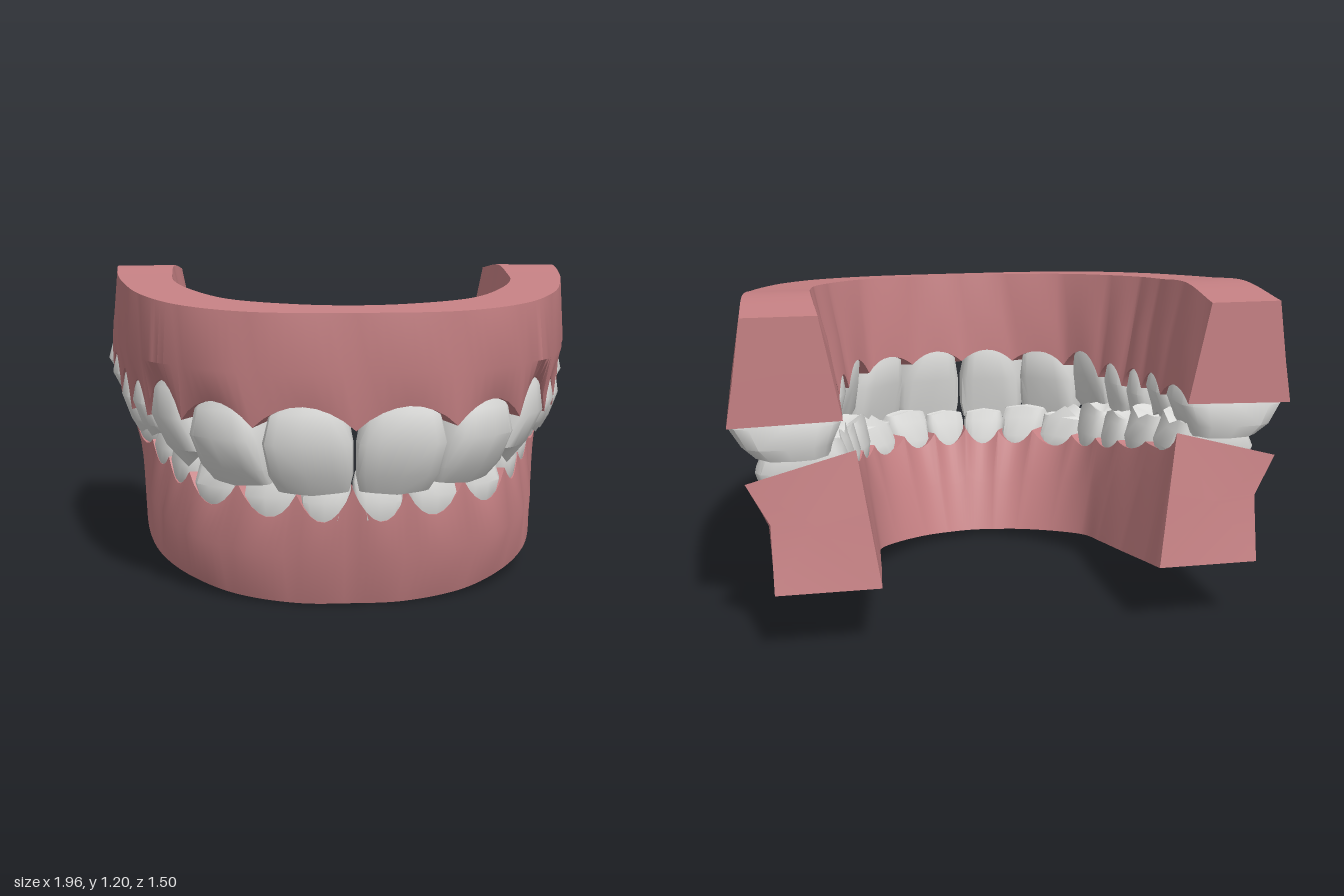
import * as THREE from 'three';
import { toCreasedNormals } from 'three/addons/utils/BufferGeometryUtils.js';

const gumPink = new THREE.MeshStandardMaterial({ color: 0xc58083 });
gumPink.name = 'gum pink';
const toothWhite = new THREE.MeshStandardMaterial({ color: 0xdcdcda });
toothWhite.name = 'tooth white';

// Curve through half an arch (midline to back) and its mirror; u counts teeth from the midline.
function arch(half) {
  const pts = half.map(([x, y, z]) => new THREE.Vector3(x, y, z));
  const mirrored = pts.slice(1).reverse().map(p => new THREE.Vector3(-p.x, p.y, p.z));
  const curve = new THREE.CatmullRomCurve3([...mirrored, ...pts]);
  const n = half.length - 1;
  return u => curve.getPoint((u + n) / (2 * n));
}

// Skin closed rings, cap both ends and make the faces point outwards.
function loft(rings, crease, capA, capB) {
  const n = rings[0].length, m = rings.length;
  const verts = [...rings.flat(), capA, capB];
  const idx = [];
  for (let j = 0; j < m - 1; j++) {
    for (let i = 0; i < n; i++) {
      const a = j * n + i, b = j * n + (i + 1) % n;
      idx.push(a, b, b + n, a, b + n, a + n);
    }
  }
  for (let i = 0; i < n; i++) {
    const k = (i + 1) % n, e = (m - 1) * n;
    idx.push(n * m, k, i, n * m + 1, e + i, e + k);
  }
  let volume = 0;
  for (let t = 0; t < idx.length; t += 3) {
    const [a, b, c] = [0, 1, 2].map(q => verts[idx[t + q]]);
    volume += a.dot(b.clone().cross(c));
  }
  if (volume < 0) idx.reverse();
  const g = new THREE.BufferGeometry().setFromPoints(verts);
  g.setIndex(idx);
  return toCreasedNormals(g, crease);
}

const middle = ring => ring.reduce((s, p) => s.add(p), new THREE.Vector3()).divideScalar(ring.length);

// Upper jaw: edge lines from the midline to the back, one point per tooth boundary.
const roofY = z => Math.min(1.09 + 0.1 * (0.74 - z), 1.22 - 0.45 * (-0.56 - z));
const roof = list => arch(list.map(([x, z]) => [x, roofY(z), z]));
const upper = {
  name: 'upper',
  baseOut: roof([[0, .74], [.36, .71], [.6, .57], [.75, .35], [.83, .12], [.88, -.1], [.91, -.35], [.92, -.66]]),
  midOut: arch([[0, .89, .75], [.37, .89, .715], [.61, .9, .58], [.76, .9, .35], [.84, .92, .12],
    [.89, .93, -.1], [.935, .95, -.35], [.96, .96, -.66]]),
  edgeOut: arch([[0, .69, .725], [.35, .7, .695], [.6, .7, .52], [.74, .68, .3], [.82, .67, .09],
    [.88, .71, -.1], [.94, .76, -.35], [.98, .81, -.66]]),
  edgeIn: arch([[0, .73, .56], [.22, .73, .53], [.42, .73, .4], [.52, .72, .2], [.57, .72, .03],
    [.6, .75, -.13], [.6, .78, -.36], [.6, .82, -.66]]),
  baseIn: roof([[0, .6], [.2, .57], [.43, .46], [.58, .24], [.65, .05], [.67, -.12], [.68, -.36], [.67, -.66]]),
  scallop: [.08, .08, .14, .13, .13, .12, .09],
  root: [.82, .82, .88, .84, .85, .89, .91],
  tip: [.45, .47, .5, .58, .56, .65, .68],
  end: 7,
};

// Lower jaw, with one more station behind the last molar.
const floorY = z => Math.max(0, (0.47 - z) * 0.205);
const floor = list => arch(list.map(([x, z]) => [x, floorY(z), z]));
const lower = {
  name: 'lower',
  baseOut: floor([[0, .47], [.2, .46], [.43, .38], [.61, .23], [.72, .07], [.78, -.1], [.82, -.35], [.84, -.62], [.85, -.75]]),
  midOut: arch([[0, .2, .54], [.22, .2, .53], [.46, .22, .45], [.63, .25, .3], [.72, .28, .11],
    [.78, .32, -.09], [.82, .38, -.33], [.84, .44, -.6], [.86, .48, -.69]]),
  edgeOut: arch([[0, .45, .56], [.2, .43, .54], [.41, .46, .47], [.59, .47, .32], [.68, .49, .13],
    [.76, .52, -.07], [.85, .57, -.31], [.9, .6, -.6], [.93, .62, -.67]]),
  edgeIn: arch([[0, .45, .46], [.14, .44, .44], [.28, .45, .38], [.42, .46, .24], [.48, .49, .08],
    [.52, .53, -.1], [.56, .59, -.33], [.57, .66, -.6], [.56, .72, -.67]]),
  baseIn: floor([[0, .31], [.1, .29], [.2, .25], [.33, .14], [.42, .01], [.44, -.15], [.46, -.4], [.48, -.62], [.49, -.75]]),
  scallop: [-.11, -.1, -.1, -.07, -.06, -.05, -.03],
  root: [.29, .3, .32, .37, .4, .46, .52],
  tip: [.52, .54, .56, .62, .63, .68, .73],
  end: 8,
};

// Gum: a swept block whose tooth edge is scalloped around every tooth.
function makeGum(jaw) {
  const rings = [], steps = 8;
  for (let k = -jaw.end * steps; k <= jaw.end * steps; k++) {
    const u = k / steps, a = Math.abs(u), i = Math.floor(a);
    const wave = Math.sin(Math.PI * (a - i));
    const dip = (jaw.scallop[i] || 0) * Math.pow(wave, 0.85);
    const out = jaw.edgeOut(u), inn = jaw.edgeIn(u);
    out.y += dip;
    inn.y += dip * 0.6;
    const baseIn = jaw.baseIn(u), baseOut = jaw.baseOut(u);
    const midOut = jaw.midOut(u);
    const swell = midOut.clone().sub(baseIn).setY(0).normalize();
    midOut.addScaledVector(swell, 0.014 * (wave - 0.5));
    const midIn = inn.clone().lerp(baseIn, 0.45).addScaledVector(swell, -0.01 * wave);
    rings.push([baseOut, midOut, out, inn, midIn, baseIn]);
  }
  const mesh = new THREE.Mesh(
    loft(rings, 0.65, middle(rings[0]), middle(rings[rings.length - 1])), gumPink);
  mesh.name = jaw.name + 'Gum';
  return mesh;
}

// Tooth: squarish rings from root to biting edge; front teeth thin out, back teeth get cusps.
function makeTooth(jaw, i, side) {
  const isUpper = jaw === upper, front = i < 3;
  const dir = isUpper ? 1 : -1;
  const tipOut = isUpper ? (front ? 0.55 : 0.8) : (front ? 0.72 : 0.85);
  const tipIn = front ? (isUpper ? 0.3 : 0.42) : 0.1;
  // height fraction, width, inner depth, outer depth
  const levels = [
    [0, 0.7, 0.15, 0.85],
    [0.2, 0.86, 0.02, 1.0],
    [0.48, 1, front ? 0.08 : -0.02, 1.05],
    [0.8, 1, tipIn * 0.7, (tipOut + 1.05) / 2],
    [1, front ? 0.9 : 0.88, tipIn, tipOut],
  ];
  const point = i === 2 ? 0.07 : front ? 0.012 : 0.03;
  const sq = v => Math.sign(v) * Math.pow(Math.abs(v), 0.6);
  const rings = levels.map(([v, w, dIn, dOut]) => {
    const ring = [];
    for (let k = 0; k < 16; k++) {
      const t = (k / 16) * Math.PI * 2;
      const a = sq(Math.cos(t)), b = sq(Math.sin(t));
      const u = side * (i + 0.5 + 0.485 * w * a);
      const p = jaw.edgeIn(u).lerp(jaw.edgeOut(u), dIn + (dOut - dIn) * (b + 1) / 2);
      p.y = jaw.root[i] + (jaw.tip[i] - jaw.root[i]) * v;
      if (v === 1) {
        // molars have two cusps, other teeth a single one
        const lift = i > 4 ? Math.abs(Math.cos(Math.PI * a)) < 0.5 ? 0 : 1 - Math.abs(a) : Math.abs(a);
        p.y += dir * point * lift;
      }
      ring.push(p);
    }
    return ring;
  });
  const pit = middle(rings[4]);
  pit.y += dir * (front ? -0.004 : 0.035);
  const mesh = new THREE.Mesh(loft(rings, 0.7, middle(rings[0]), pit), toothWhite);
  const kind = i < 2 ? 'Incisor' : i === 2 ? 'Canine' : i < 5 ? 'Premolar' : 'Molar';
  mesh.name = jaw.name + (side > 0 ? 'Left' : 'Right') + kind + (i + 1);
  return mesh;
}

export function createModel() {
  const model = new THREE.Group();
  model.name = 'dentalModel';
  for (const jaw of [upper, lower]) {
    const group = new THREE.Group();
    group.name = jaw.name + 'Jaw';
    group.add(makeGum(jaw));
    for (const side of [1, -1])
      for (let i = 0; i < 7; i++) group.add(makeTooth(jaw, i, side));
    model.add(group);
  }
  return model;
}
